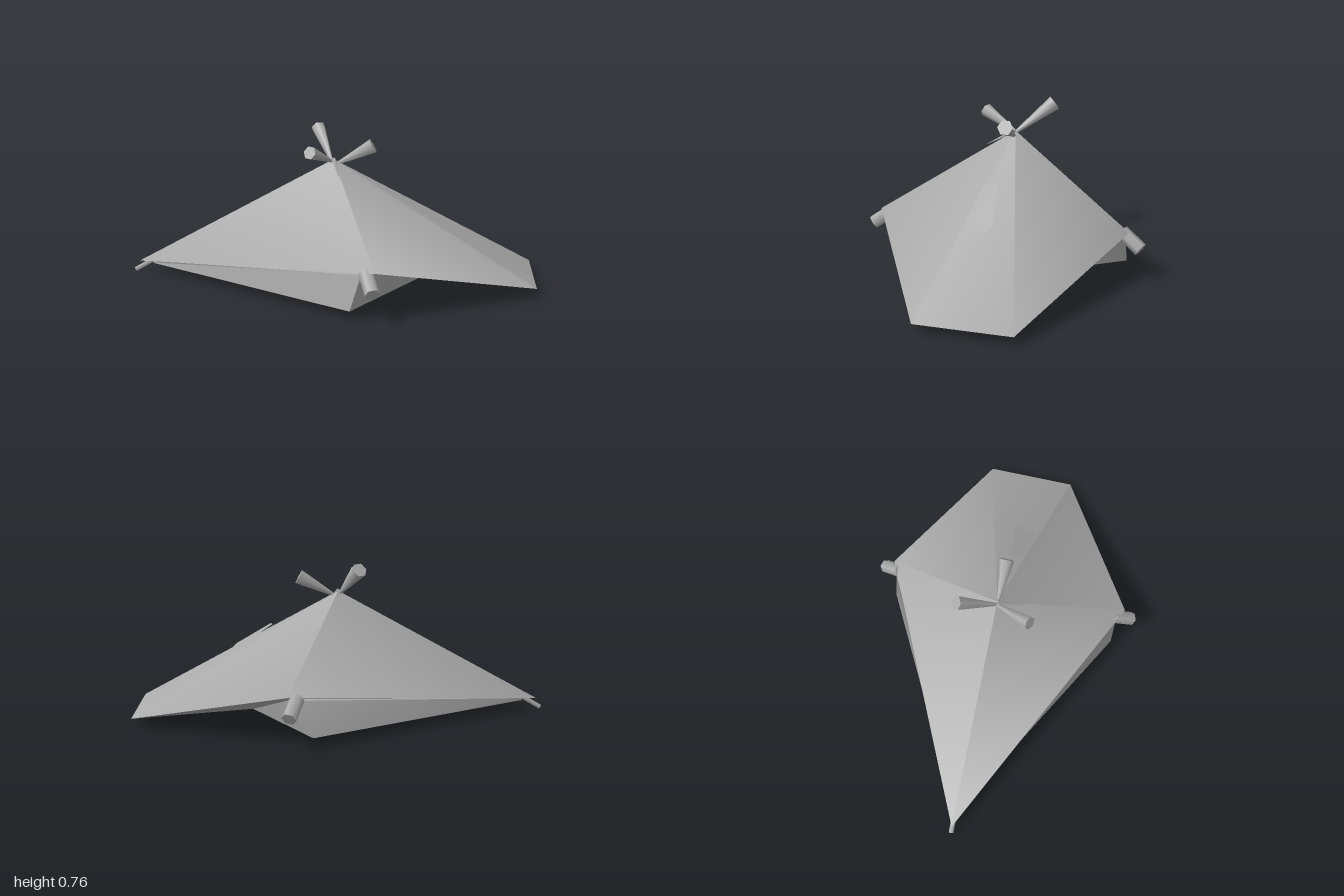
import * as THREE from 'three';

const V = (a) => new THREE.Vector3(...a);

export function createModel() {
  const group = new THREE.Group();
  const hide = new THREE.MeshStandardMaterial({ color: 0xaaaaaa, side: THREE.DoubleSide });
  hide.name = 'grey hide';

  const add = (name, geometry) => {
    const mesh = new THREE.Mesh(geometry, hide);
    mesh.name = name;
    group.add(mesh);
    return mesh;
  };

  // Moves the rings of a cylinder to given corners; an array of one point is a tip.
  const loft = (top, bottom, topCentre, bottomCentre) => {
    const n = bottom.length;
    const g = new THREE.CylinderGeometry(1, 1, 1, n);
    const p = g.attributes.position;
    for (let i = 0; i < p.count; i++) {
      const x = p.getX(i), z = p.getZ(i), up = p.getY(i) > 0;
      const k = (Math.round(Math.atan2(x, z) / (2 * Math.PI / n)) + n) % n;
      const ring = up ? top : bottom;
      const c = Math.hypot(x, z) < 0.1 ? (up ? topCentre : bottomCentre) : ring[k % ring.length];
      p.setXYZ(i, ...c);
    }
    g.computeVertexNormals();
    return g;
  };

  // Outer cover: a five-cornered cone with a sagging underside
  const apex = [0.02, 0.61, 0];
  const hem = [[1, 0.05, 0.19], [1, 0.05, -0.25], [0.26, 0.24, -0.6], [-0.97, 0.06, 0], [0.26, 0.24, 0.61]];
  add('outerCover', loft([apex], hem, apex, [0, 0.052, 0]));

  // Inner tent walls on a kite-shaped floor
  const floor = [[0.15, 0.05, 0.578], [0.5, 0.05, 0], [0.15, 0.05, -0.578], [-0.9, 0.05, 0]];
  const eaves = [[0.2, 0.22, 0.575], [0.54, 0.25, 0], [0.2, 0.22, -0.575], [-0.9, 0.06, 0]];
  add('innerTent', loft(eaves, floor, [0, 0.3, 0], [-0.05, 0.05, 0]));

  // Raised panel on the entrance side, its upper edge lifted
  const panel = [[0.34, 0.447, 0], [0.35, 0.44, 0.064], [0.52, 0.335, 0.094], [0.575, 0.298, 0], [0.54, 0.32, -0.03]];
  const pg = new THREE.BufferGeometry();
  pg.setAttribute('position', new THREE.Float32BufferAttribute(panel.flat(), 3));
  pg.setIndex([0, 1, 2, 0, 2, 3, 0, 3, 4]);
  pg.computeVertexNormals();
  add('entrancePanel', pg);

  // Poles: tapered rods between two points
  const rod = (name, from, to, r0, r1, sides = 6) => {
    const a = V(from), b = V(to), d = b.clone().sub(a);
    const mesh = add(name, new THREE.CylinderGeometry(r1, r0, d.length(), sides));
    mesh.position.copy(a).add(b).multiplyScalar(0.5);
    mesh.quaternion.setFromUnitVectors(new THREE.Vector3(0, 1, 0), d.normalize());
  };
  rod('poleTop', [0.04, 0.59, 0], [0.21, 0.68, 0], 0.008, 0.038);
  rod('poleTop', [0.01, 0.6, 0], [-0.075, 0.735, -0.17], 0.008, 0.036);
  rod('poleTop', [0.01, 0.6, 0], [-0.075, 0.675, 0.175], 0.008, 0.033);
  for (const s of [1, -1]) {
    rod('poleFoot', [0.22, 0.225, s * 0.56], [0.255, 0.16, s * 0.655], 0.034, 0.034);
  }
  rod('tailPoleFoot', [-0.88, 0.08, 0], [-0.99, 0.015, 0], 0.012, 0.012);

  // Lacing pin below the smoke hole
  rod('lacingPin', [0.02, 0.61, 0], [0.06, 0.545, 0.13], 0.012, 0.001, 4);

  return group;
}
